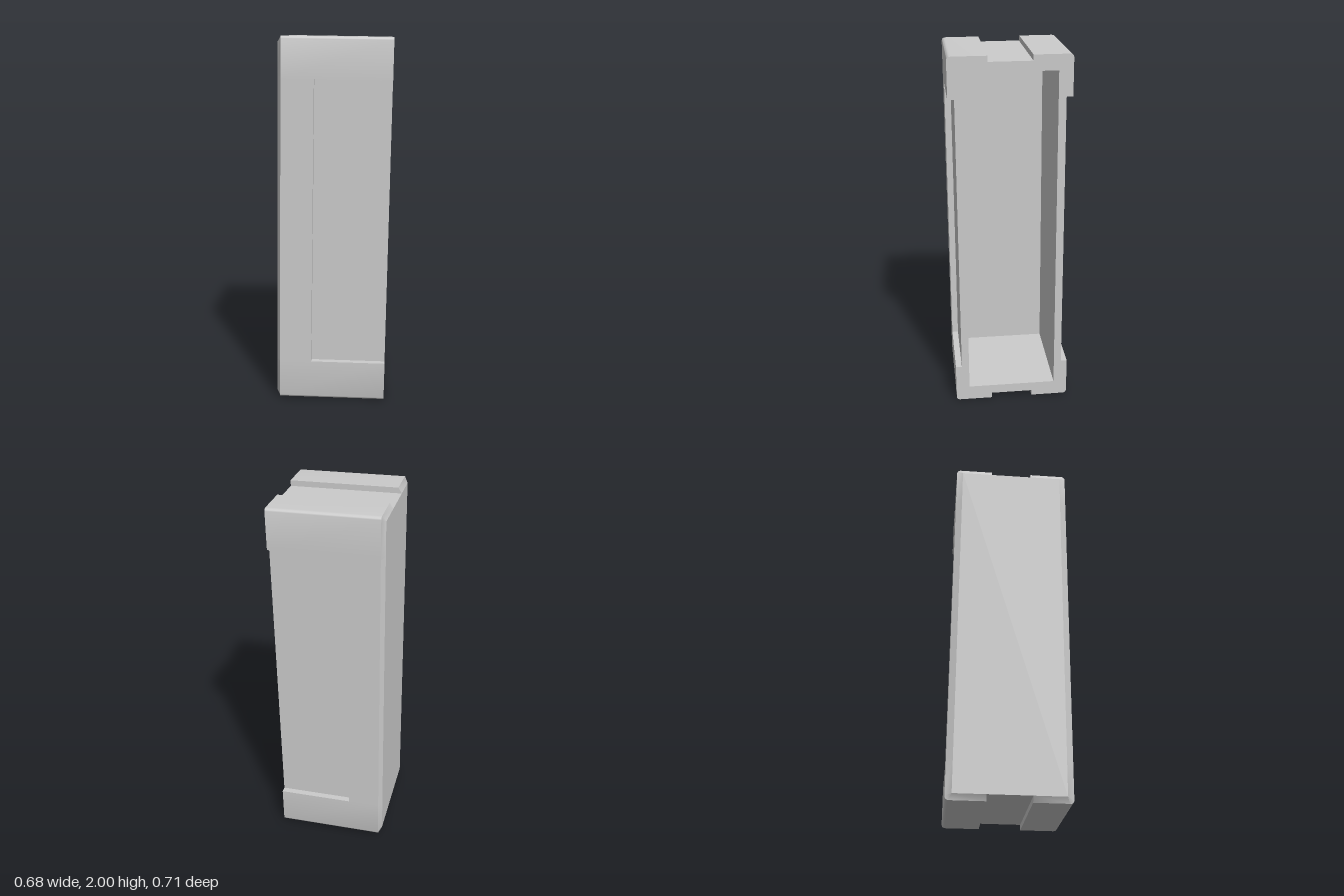
import * as THREE from 'three';
import { toCreasedNormals } from 'three/addons/utils/BufferGeometryUtils.js';

// Half sizes of the core tube, its cavity and the raised frame
const CORE = { y: 0.962, z: 0.286 };
const CAVITY = { y: 0.91, z: 0.245 };
const FRAME = { y: 0.9925, z: 0.32 };
const X = { closed: -0.303, bevel: -0.285, cavity: -0.26, column: -0.112, open: 0.296 };
const PAD_EDGE_Y = 0.775;
const PAD_EDGE_Z = 0.115;

const material = new THREE.MeshStandardMaterial({ color: 0xcccccc });

// Extrude a (z, y) outline along x
function extrudeX(shape, x0, x1) {
  const geometry = new THREE.ExtrudeGeometry(shape, { depth: x1 - x0, bevelEnabled: false, curveSegments: 5 });
  return geometry.rotateY(Math.PI / 2).translate(x0, 0, 0);
}

// Pull the outer edge of the closed end inwards, so the frame slopes to the core
function bevelClosedEnd(geometry) {
  const p = geometry.attributes.position;
  for (let i = 0; i < p.count; i++) {
    const raised = Math.abs(p.getZ(i)) > CORE.z + 0.005 || Math.abs(p.getY(i)) > CORE.y + 0.005;
    if (p.getX(i) < X.closed + 0.001 && raised) p.setX(i, X.bevel);
  }
  return geometry;
}

function add(group, name, geometry) {
  const mesh = new THREE.Mesh(toCreasedNormals(geometry, 0.6), material);
  mesh.name = name;
  group.add(mesh);
}

function rectangle(path, y, z) {
  path.moveTo(-z, -y).lineTo(z, -y).lineTo(z, y).lineTo(-z, y).closePath();
  return path;
}

// L-shaped outline of a corner pad, mirrored by signs
function padShape(sy, sz) {
  const r = 0.022;
  const shape = new THREE.Shape();
  const to = (z, y) => shape.lineTo(-z * sz, y * sy);
  shape.moveTo(-PAD_EDGE_Z * sz, CORE.y * sy);
  to(PAD_EDGE_Z, FRAME.y);
  to(FRAME.z - r, FRAME.y);
  shape.quadraticCurveTo(-FRAME.z * sz, FRAME.y * sy, -FRAME.z * sz, (FRAME.y - r) * sy);
  to(FRAME.z, PAD_EDGE_Y);
  to(CORE.z, PAD_EDGE_Y);
  to(CORE.z, CORE.y);
  shape.closePath();
  return shape;
}

export function createModel() {
  const model = new THREE.Group();
  model.name = 'sleeve';
  const body = new THREE.Group();
  body.name = 'tiltedBody';

  // Open tube and its closed end
  const tube = rectangle(new THREE.Shape(), CORE.y, CORE.z);
  tube.holes.push(rectangle(new THREE.Path(), CAVITY.y, CAVITY.z));
  add(body, 'tubeWalls', extrudeX(tube, X.cavity, X.open));
  add(body, 'endWall', extrudeX(rectangle(new THREE.Shape(), CORE.y, CORE.z), X.closed, X.cavity));

  for (const sz of [1, -1]) {
    const side = sz > 0 ? 'front' : 'back';
    // Pads wrapping the top and bottom edges
    for (const sy of [1, -1]) {
      const pad = bevelClosedEnd(extrudeX(padShape(sy, sz), X.closed, X.open));
      add(body, side + (sy > 0 ? 'TopPad' : 'BottomPad'), pad);
    }
    // Raised column beside the recessed panel
    const column = new THREE.BoxGeometry(X.column - X.closed, 2 * PAD_EDGE_Y, FRAME.z - CORE.z);
    column.translate((X.column + X.closed) / 2, 0, sz * (FRAME.z + CORE.z) / 2);
    add(body, side + 'Column', bevelClosedEnd(column));
  }

  // Slight lean and turn
  body.rotation.set(0.0077, -0.087, -0.0155);
  body.position.y = 1;
  model.add(body);
  return model;
}
